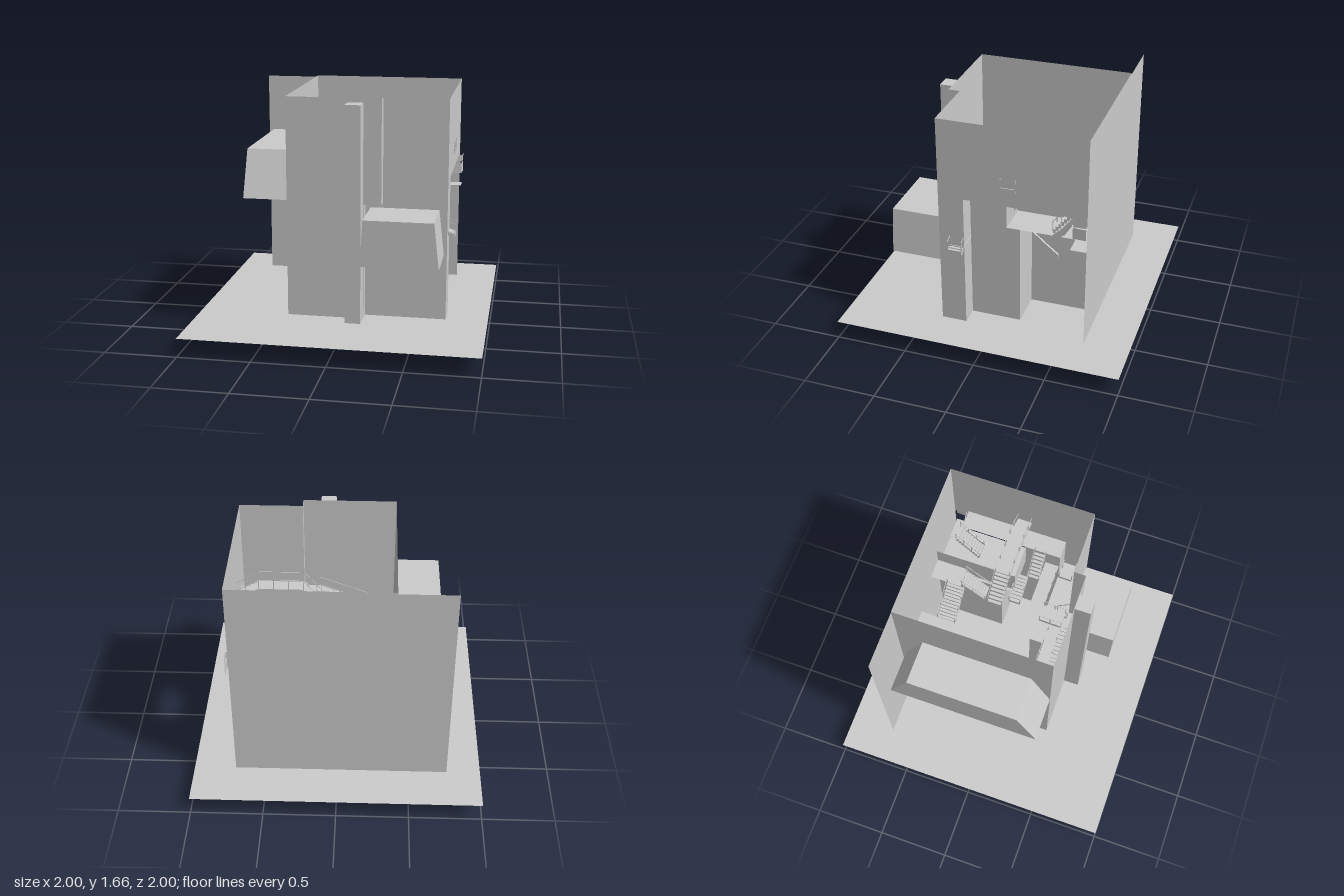
import * as THREE from 'three';

const mat = new THREE.MeshStandardMaterial({ color: 0xcccccc, flatShading: true, side: THREE.DoubleSide });

export function createModel() {
  const root = new THREE.Group();

  const add = (name, geo, parent = root) => {
    const m = new THREE.Mesh(geo, mat);
    m.name = name;
    parent.add(m);
    return m;
  };
  // Box given by its limits on each axis
  const box = (name, x0, x1, y0, y1, z0, z1, parent = root) => {
    const m = add(name, new THREE.BoxGeometry(x1 - x0, y1 - y0, z1 - z0), parent);
    m.position.set((x0 + x1) / 2, (y0 + y1) / 2, (z0 + z1) / 2);
    return m;
  };
  // Thin upright walls along a plan outline of [x, z] points
  const walls = (name, pts, y0, y1) => {
    const v = [];
    for (let i = 0; i < pts.length - 1; i++) {
      const [a, b] = pts[i], [c, d] = pts[i + 1];
      v.push(a, y0, b, c, y0, d, c, y1, d, a, y0, b, c, y1, d, a, y1, b);
    }
    const g = new THREE.BufferGeometry();
    g.setAttribute('position', new THREE.Float32BufferAttribute(v, 3));
    g.computeVertexNormals();
    add(name, g);
  };
  // Thin level floor
  const slab = (name, x0, x1, z0, z1, y) => {
    const m = add(name, new THREE.PlaneGeometry(x1 - x0, z1 - z0));
    m.rotation.x = -Math.PI / 2;
    m.position.set((x0 + x1) / 2, y, (z0 + z1) / 2);
  };
  // Upright outline extruded by a depth along z
  const prism = (name, pts, depth) => add(name, new THREE.ExtrudeGeometry(
    new THREE.Shape(pts.map(p => new THREE.Vector2(...p))), { depth, bevelEnabled: false }));

  // Railing between two points, with evenly spaced posts
  const rail = (name, a, b, parent = root) => {
    const A = new THREE.Vector3(...a), B = new THREE.Vector3(...b), h = 0.07, t = 0.004;
    const len = A.distanceTo(B), n = Math.max(1, Math.round(len / 0.1));
    const g = new THREE.Group();
    g.name = name;
    parent.add(g);
    for (let i = 0; i <= n; i++) {
      const p = A.clone().lerp(B, i / n);
      add('railPost', new THREE.BoxGeometry(t * 1.5, h, t * 1.5), g).position.set(p.x, p.y + h / 2, p.z);
    }
    const bar = add('handrail', new THREE.BoxGeometry(t, t, len), g);
    bar.position.copy(A).lerp(B, 0.5).y += h;
    bar.lookAt(B.x, B.y + h, B.z);
  };
  // Flight of thin steps along x or z, rising from y0 at the low limit to y1, with side rails
  const stairs = (x0, x1, z0, z1, y0, y1, axis, n = 9) => {
    const g = new THREE.Group();
    g.name = 'stairFlight';
    root.add(g);
    for (let i = 0; i < n; i++) {
      const y = y0 + (y1 - y0) * (i + 0.5) / n, s = i / n, e = (i + 1) / n;
      if (axis === 'x') box('step', x0 + (x1 - x0) * s, x0 + (x1 - x0) * e, y - 0.03, y, z0, z1, g);
      else box('step', x0, x1, y - 0.03, y, z0 + (z1 - z0) * s, z0 + (z1 - z0) * e, g);
    }
    for (const k of [0, 1]) {
      if (axis === 'x') rail('stairRail', [x0, y0, k ? z1 : z0], [x1, y1, k ? z1 : z0], g);
      else rail('stairRail', [k ? x1 : x0, y0, z0], [k ? x1 : x0, y1, z1], g);
    }
  };

  // Ground and back wall
  slab('ground', -1, 1, -1, 1, 0.13);
  walls('backWall', [[0.71, -0.685], [-0.38, -0.685]], 0.13, 1.66);
  walls('backWallExtension', [[-0.38, -0.685], [-0.765, -0.685]], 0.13, 1.65);

  // Lower outer walls, running below the ground
  walls('lowerWalls', [[-0.38, -0.35], [-0.38, 0.41], [0.15, 0.41], [0.15, 0.33], [0.71, 0.33],
    [0.71, 0.155], [0.58, 0.155], [0.58, -0.195], [0.32, -0.195], [0.32, -0.685]], 0, 0.86);
  walls('rearLeftWall', [[-0.38, -0.685], [-0.38, -0.35]], 0.13, 1.66);
  box('sunkenBase', -0.375, -0.07, 0, 0.125, -0.61, -0.35);

  // Upper outer walls
  walls('upperFrontWall', [[-0.38, -0.35], [-0.38, 0.41], [0.15, 0.41]], 0.86, 1.66);
  walls('overhangWall', [[0.15, 0.41], [0.27, 0.41], [0.27, 0.33]], 0.94, 1.66);
  slab('overhangSoffit', 0.15, 0.27, 0.33, 0.41, 0.94);
  walls('recessWall', [[0.15, 0.41], [0.15, 0.33], [0.27, 0.33]], 0.86, 0.94);
  walls('frontRightWall', [[0.27, 0.33], [0.71, 0.33], [0.71, 0.155]], 0.86, 1.66);
  walls('rightWall', [[0.71, 0.155], [0.71, -0.58]], 1.1, 1.66);
  walls('rightWallEnd', [[0.71, -0.58], [0.71, -0.685]], 1.05, 1.66);

  // Alcove on the right side
  walls('alcoveWall', [[0.71, 0.155], [0.58, 0.155], [0.58, -0.1], [0.34, -0.1]], 0.86, 1.1);
  slab('alcoveSoffit', 0.58, 0.71, -0.58, 0.155, 1.1);
  slab('alcoveCeiling', 0.32, 0.58, -0.685, -0.1, 0.86);
  walls('alcoveInnerWall', [[0.34, -0.1], [0.34, -0.685]], 0.86, 1.1);

  // Rear balcony with its bracket and ramp
  slab('balconyFloor', 0.58, 0.73, -0.685, -0.58, 0.87);
  walls('balconyPanel', [[0.58, -0.58], [0.73, -0.595], [0.735, -0.685]], 0.96, 1.04);
  walls('balconyLedge', [[0.6, -0.58], [0.735, -0.6], [0.735, -0.685]], 1.05, 1.1);
  const ramp = prism('curvedRamp', [[0.41, 0.865], [0.48, 0.93], [0.56, 1.03], [0.56, 0.98],
    [0.51, 0.9], [0.46, 0.87]], 0.015);
  ramp.rotation.y = Math.PI / 2;
  ramp.position.x = 0.6;
  const bracket = prism('curvedBracket', [[0.29, 0.86], [0.36, 0.8], [0.46, 0.72], [0.46, 0.695],
    [0.42, 0.7], [0.35, 0.78], [0.29, 0.8]], 0.015);
  bracket.rotation.y = Math.PI / 2;
  bracket.position.x = 0.57;

  // Chimney pillar
  box('pillar', 0.04, 0.147, 0, 1.63, 0.41, 0.52);

  // Tapered bays on the front and the left side
  prism('frontBay', [[0.17, 0.59], [0.69, 0.59], [0.655, 0.905], [0.187, 0.905]], 0.355).position.z = 0.333;
  const sideBay = prism('sideBay', [[-0.41, 0.95], [0.645, 0.95], [0.5, 1.27], [-0.27, 1.27]], 0.3);
  sideBay.rotation.y = Math.PI / 2;
  sideBay.position.x = -0.685;

  // Inner walkways around the court
  slab('leftWalkway', -0.36, -0.25, -0.39, -0.09, 0.72);
  slab('frontLeftWalkway', -0.36, -0.25, 0.08, 0.41, 0.8);
  slab('frontWalkway', -0.25, 0.15, 0.22, 0.31, 0.8);
  slab('rearLeftWalkway', -0.25, -0.02, -0.55, -0.43, 0.8);
  slab('rearWalkway', -0.15, -0.02, -0.685, -0.55, 0.8);
  slab('rearRoom', 0.2, 0.34, -0.685, -0.46, 0.95);
  slab('middleRoom', 0.15, 0.58, 0.05, 0.15, 0.95);
  slab('frontRightRoom', 0.27, 0.71, 0.15, 0.33, 0.75);
  box('courtBlock', 0.04, 0.15, 0.13, 0.8, 0.12, 0.22);
  rail('courtRail', [-0.24, 0.8, 0.22], [0.15, 0.8, 0.22]);
  rail('courtRail', [-0.24, 0.76, -0.39], [-0.24, 0.8, 0.22]);
  rail('roomRail', [0.26, 0.95, 0.15], [0.51, 0.95, 0.15]);

  // Stair flights
  stairs(0.48, 0.58, -0.59, -0.42, 1.1, 0.9, 'z');
  stairs(0.22, 0.33, -0.46, -0.29, 0.95, 0.8, 'z');
  stairs(-0.02, 0.2, -0.56, -0.43, 0.8, 0.95, 'x', 11);
  stairs(-0.36, -0.26, -0.68, -0.54, 0.45, 0.6, 'z');
  stairs(-0.25, -0.15, -0.68, -0.55, 0.65, 0.8, 'x', 6);
  stairs(-0.36, -0.25, -0.09, 0.08, 0.72, 0.8, 'z');
  stairs(-0.22, 0.15, 0.31, 0.405, 0.8, 0.94, 'x', 14);
  stairs(0.15, 0.26, 0.15, 0.31, 0.95, 0.94, 'z');
  stairs(0.27, 0.34, 0.23, 0.32, 0.75, 0.85, 'z', 5);
  stairs(0.58, 0.755, 0.16, 0.255, 0.78, 0.72, 'x');
  stairs(0.43, 0.57, -0.03, 0.05, 0.95, 1.1, 'x', 7);
  stairs(0.25, 0.43, -0.11, -0.03, 0.86, 0.95, 'x', 8);

  // Arched footbridge across the upper right
  const arch = new THREE.Shape();
  arch.moveTo(0.24, 1.33).lineTo(0.54, 1.33).lineTo(0.54, 1.24);
  arch.quadraticCurveTo(0.39, 1.36, 0.24, 1.24);
  add('bridgeArch', new THREE.ExtrudeGeometry(arch, { depth: 0.1, bevelEnabled: false })).position.z = -0.205;
  for (const z of [-0.205, -0.105]) rail('bridgeRail', [0.24, 1.33, z], [0.54, 1.33, z]);
  stairs(0.08, 0.24, -0.205, -0.105, 1.15, 1.33, 'x', 8);
  stairs(0.54, 0.716, -0.205, -0.105, 1.33, 1.23, 'x', 8);

  return root;
}
